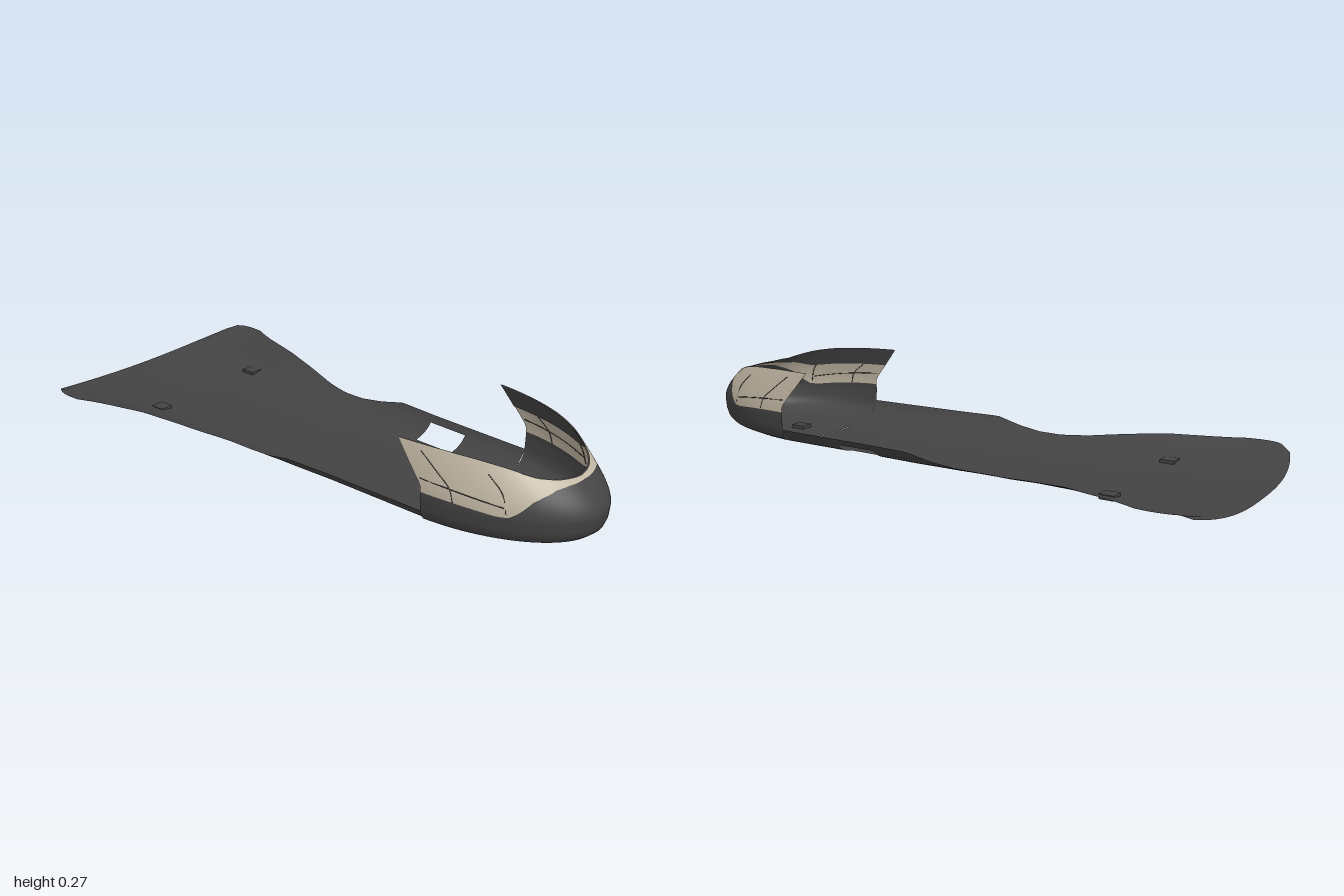
import * as THREE from 'three';

const dark = new THREE.MeshStandardMaterial({ color: 0x434343, side: THREE.DoubleSide });
dark.name = 'charcoal';
const beige = new THREE.MeshStandardMaterial({ color: 0xc2b7a4, side: THREE.DoubleSide });
beige.name = 'warm beige';
const black = new THREE.MeshStandardMaterial({ color: 0x2a2a2a });
black.name = 'seam black';

// Linear lookup in a short list of [x, value]
function lookup(table, x) {
  if (x <= table[0][0]) return table[0][1];
  for (let i = 1; i < table.length; i++) {
    const [x0, a] = table[i - 1], [x1, b] = table[i];
    if (x <= x1) return a + (b - a) * (x - x0) / (x1 - x0);
  }
  return table[table.length - 1][1];
}

// Surface over a grid of parameters; cells where skip(u, v) is true stay open
function sheet(name, us, vs, point, material, skip = () => false) {
  const pos = [], index = [], n = vs.length;
  for (const u of us) for (const v of vs) pos.push(...point(u, v));
  for (let i = 0; i < us.length - 1; i++) {
    for (let j = 0; j < n - 1; j++) {
      if (skip((us[i] + us[i + 1]) / 2, (vs[j] + vs[j + 1]) / 2)) continue;
      const a = i * n + j, b = a + n;
      index.push(a, a + 1, b, b, a + 1, b + 1);
    }
  }
  const g = new THREE.BufferGeometry();
  g.setAttribute('position', new THREE.Float32BufferAttribute(pos, 3));
  g.setIndex(index);
  g.computeVertexNormals();
  const mesh = new THREE.Mesh(g, material);
  mesh.name = name;
  return mesh;
}

const range = (a, b, n) => Array.from({ length: n + 1 }, (_, i) => a + (b - a) * i / n);

// Floor: half width, edge height and keel height along x
const NOSE_X = 0.56;
const widths = [[-1, 0.40], [-0.96, 0.425], [-0.92, 0.442], [-0.87, 0.447], [-0.81, 0.443], [-0.7, 0.405],
  [-0.55, 0.362], [-0.4, 0.322], [-0.27, 0.285], [-0.2, 0.272], [-0.12, 0.272], [0.05, 0.285], [0.2, 0.276], [0.56, 0.267]];
const edges = [[-1, 0.055], [-0.95, 0.073], [-0.55, 0.072], [-0.42, 0.06], [-0.3, 0.046], [-0.2, 0.04],
  [-0.12, 0.041], [-0.04, 0.051], [0.05, 0.071], [0.56, 0.07]];
const keel = [[-1, 0.016], [-0.6, 0.006], [-0.1, 0.002], [0.56, 0.002]];
const power = [[-1, 3], [-0.4, 3], [0.05, 9], [0.56, 10]];

function floorPoint(x, s) {
  const k = lookup(keel, x), a = Math.abs(s);
  const y = k + 0.02 * a * a + (lookup(edges, x) - k - 0.02) * a ** lookup(power, x);
  const tail = Math.max(0, (-0.75 - x) / 0.25);
  return [x + 0.05 * a ** 3 * tail, y, s * lookup(widths, x)];
}

// Nose: plan outline by angle, bowl profile below, inward leaning wall above
const BELT = 0.11;
const bowl = [[0.002, 0], [0.007, 0.5], [0.013, 0.7], [0.022, 0.82], [0.036, 0.93], [0.052, 0.972], [0.075, 0.992], [BELT, 1]];
const rimTable = [[0, 0.207], [0.4, 0.213], [0.6, 0.222], [0.7, 0.234], [0.8, 0.248], [0.9, 0.26], [1, 0.269]];
const splitTable = [[0, 0.199], [0.3, 0.198], [0.47, 0.193], [0.6, 0.178], [0.68, 0.165], [0.8, 0.117], [0.85, 0.115], [1, 0.13]];
const rimY = t => lookup(rimTable, Math.abs(Math.sin(t)));
const splitY = t => lookup(splitTable, Math.abs(Math.sin(t)));

function nosePoint(t, y, inset = 0) {
  const c = Math.cos(t), s = Math.sin(t);
  let r = lookup(bowl, y), back = 0;
  if (y > BELT) {
    const h = (y - BELT) / (rimY(t) - BELT);
    r = 1 - (0.05 + 0.13 * c) * h ** 1.7;
    // the upper rear corners sweep backwards
    back = 0.095 * Math.max(0, (y - 0.15) / 0.119) * (1 - c) ** 2;
  }
  r -= inset;
  return [NOSE_X + 0.44 * c * r - back, y, 0.268 * s * (1 - 0.08 * c) * r];
}

export function createModel() {
  const model = new THREE.Group();
  model.name = 'hullShell';

  // Floor with a rectangular opening on one side
  const xs = [...range(-1, 0.19, 50), ...range(0.19, 0.335, 5).slice(1), ...range(0.335, NOSE_X, 8).slice(1)];
  const half = [...range(0, 0.67, 10), ...range(0.67, 0.945, 6).slice(1), 0.96, 0.975, 0.99, 1];
  const ss = [...half.slice(1).reverse().map(s => -s), ...half];
  model.add(sheet('floor', xs, ss, floorPoint, dark,
    (x, s) => x > 0.19 && x < 0.335 && s > -0.945 && s < -0.67));

  // Lower nose, beige upper cowl and dark lining inside the rim
  const angles = range(-Math.PI / 2, Math.PI / 2, 64);
  model.add(sheet('noseBowl', angles, bowl.map(b => b[0]), (t, y) => nosePoint(t, y), dark));
  const between = (a, b, v) => a + (b - a) * v;
  model.add(sheet('noseFront', angles, range(0, 1, 8),
    (t, v) => nosePoint(t, between(BELT, splitY(t), v)), dark));
  model.add(sheet('cowl', angles, range(0, 1, 10),
    (t, v) => nosePoint(t, between(splitY(t), rimY(t), v)), beige));
  model.add(sheet('cowlLining', angles, range(0.55, 1, 5),
    (t, v) => nosePoint(t, between(splitY(t), rimY(t), v), 0.012), dark));

  // Panel seams on both cowl sides, as [x, y] seen from the side
  const seams = [
    [[0.57, 0.172], [0.66, 0.165], [0.74, 0.155], [0.81, 0.143]],
    [[0.61, 0.25], [0.64, 0.2], [0.66, 0.165], [0.665, 0.128]],
    [[0.78, 0.228], [0.81, 0.18], [0.815, 0.125]],
  ];
  for (const side of [-1, 1]) {
    for (const seam of seams) {
      const pts = seam.map(([x, y]) => {
        const t = side * Math.acos((x - NOSE_X) / 0.44);
        return new THREE.Vector3(...nosePoint(t, y));
      });
      const tube = new THREE.TubeGeometry(new THREE.CatmullRomCurve3(pts), 16, 0.0014, 5);
      const mesh = new THREE.Mesh(tube, black);
      mesh.name = 'panelSeam';
      model.add(mesh);
    }
  }

  // Three small mounting pads through the floor
  for (const [x, y, z] of [[-0.62, 0.021, 0.22], [-0.62, 0.021, -0.22], [0.7, 0.0085, 0]]) {
    const pad = new THREE.Mesh(new THREE.BoxGeometry(0.05, 0.016, 0.045), dark);
    pad.name = 'mountingPad';
    pad.position.set(x, y, z);
    model.add(pad);
  }
  return model;
}
